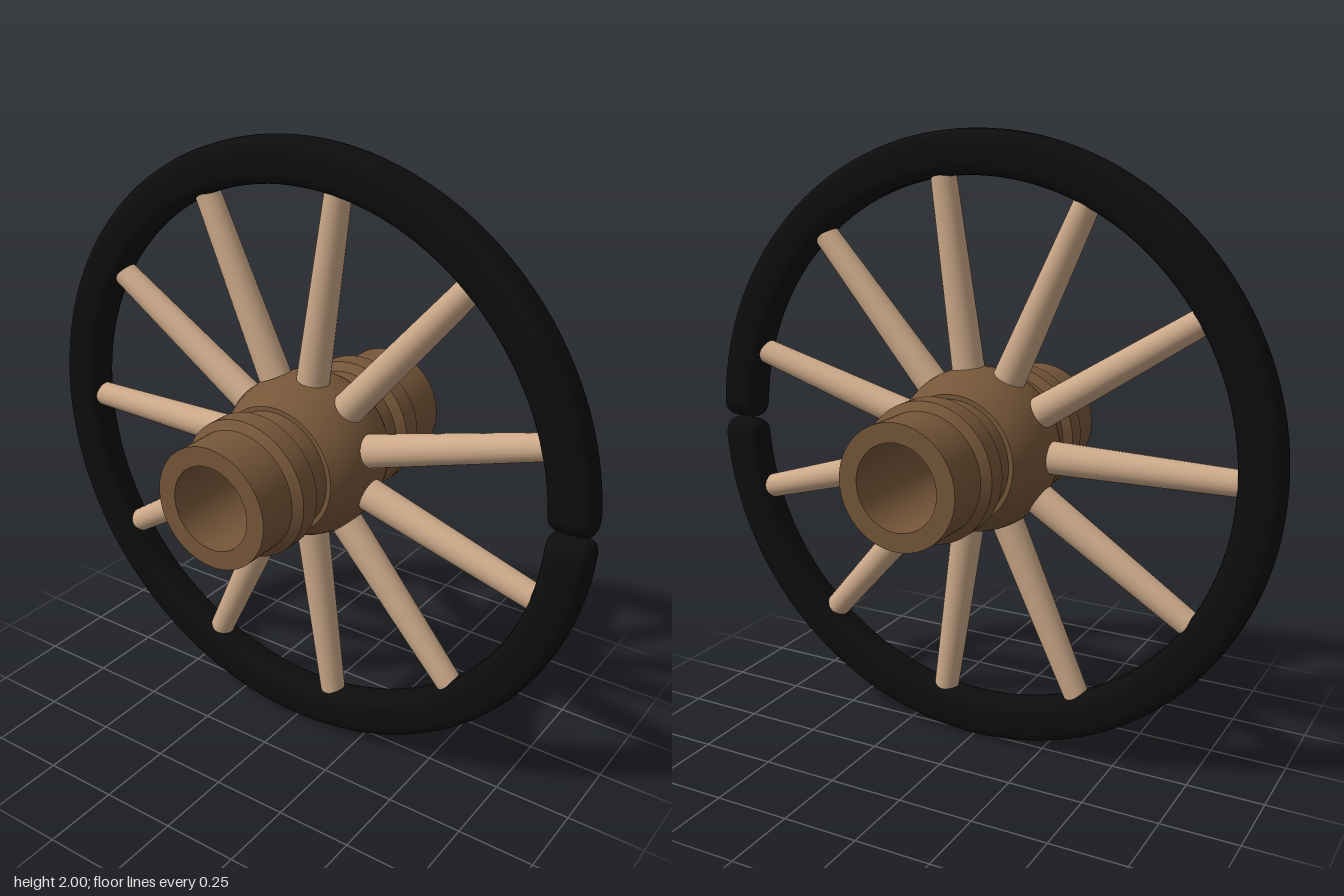
import * as THREE from 'three';
import { toCreasedNormals } from 'three/addons/utils/BufferGeometryUtils.js';

const SPOKES = 11;
const WHEEL_Z = 0.02;

// Rim: a rounded-box section swept almost full circle, both ends rounded off
function rimGeometry() {
  const radius = 0.93, halfR = 0.07, halfZ = 0.06, sides = 32, steps = 128, capSteps = 10, cap = 0.07;
  const start = 0.003, end = Math.PI * 2 - start;
  const stations = [];
  for (let i = 0; i < capSteps; i++) {
    const u = 1 - Math.cos((i / capSteps) * Math.PI / 2);
    stations.push([start + u * cap, u]);
  }
  for (let i = 0; i <= steps; i++) stations.push([start + cap + (end - start - 2 * cap) * i / steps, 1]);
  for (let i = capSteps - 1; i >= 0; i--) {
    const u = stations[i][1];
    stations.push([end - u * cap, u]);
  }
  const round = (v) => Math.sign(v) * Math.pow(Math.abs(v), 0.6);
  const positions = [], index = [];
  stations.forEach(([a, u], i) => {
    const sr = Math.pow(1 - Math.pow(1 - u, 4), 0.25);
    const sz = Math.sqrt(1 - (1 - u) ** 2);
    for (let j = 0; j < sides; j++) {
      const b = (j / sides) * Math.PI * 2;
      const r = radius + halfR * sr * round(Math.cos(b));
      positions.push(r * Math.cos(a), r * Math.sin(a), halfZ * sz * round(Math.sin(b)));
      if (i < stations.length - 1) {
        const p = i * sides + j, q = i * sides + (j + 1) % sides;
        index.push(p, p + sides, q + sides, p, q + sides, q);
      }
    }
  });
  const g = new THREE.BufferGeometry();
  g.setAttribute('position', new THREE.Float32BufferAttribute(positions, 3));
  g.setIndex(index);
  g.computeVertexNormals();
  return g;
}

// Hub: bored barrel with a round middle and a chamfered band on each side
function hubGeometry() {
  const c = 0.01, R = 0.267, half = 0.165;
  const profile = [[0.135, -0.492], [0.195, -0.492], [0.195, -0.337], [0.222, -0.317],
    [0.222, -0.25], [0.195, -0.228], [0.195, c - half]];
  const limit = Math.asin(half / R);
  for (let i = 0; i <= 12; i++) {
    const a = -limit + 2 * limit * i / 12;
    profile.push([R * Math.cos(a), c + R * Math.sin(a)]);
  }
  profile.push([0.195, c + half], [0.195, 0.246], [0.222, 0.264], [0.222, 0.332],
    [0.195, 0.352], [0.195, 0.492], [0.135, 0.492], [0.135, -0.492]);
  const g = new THREE.LatheGeometry(profile.map(([r, z]) => new THREE.Vector2(r, z)), 64);
  g.rotateX(Math.PI / 2);
  return toCreasedNormals(g, 0.4);
}

export function createModel() {
  const mat = (name, color) => new THREE.MeshStandardMaterial({ name, color });
  const black = mat('black rim', 0x0d0d0d);
  const paleWood = mat('pale wood', 0xcba888);
  const brownWood = mat('brown wood', 0x765639);

  const wheel = new THREE.Group();
  wheel.name = 'wheel';
  wheel.position.y = 1;

  const add = (name, geometry, material, parent = wheel) => {
    const mesh = new THREE.Mesh(geometry, material);
    mesh.name = name;
    parent.add(mesh);
    return mesh;
  };

  add('rim', rimGeometry(), black).position.z = WHEEL_Z;
  add('hub', hubGeometry(), brownWood);

  // Tapered spokes, evenly spaced with one pointing to -x
  const spokes = new THREE.Group();
  spokes.name = 'spokes';
  spokes.position.z = WHEEL_Z;
  wheel.add(spokes);
  const inner = 0.262, outer = 0.875;
  const spoke = new THREE.CylinderGeometry(0.041, 0.053, outer - inner, 24);
  spoke.translate(0, (inner + outer) / 2, 0);
  for (let i = 0; i < SPOKES; i++) {
    const angle = Math.PI + (i / SPOKES) * Math.PI * 2;
    add('spoke' + (i + 1), spoke, paleWood, spokes).rotation.z = angle - Math.PI / 2;
  }

  const model = new THREE.Group();
  model.name = 'spokedWheel';
  model.add(wheel);
  return model;
}
